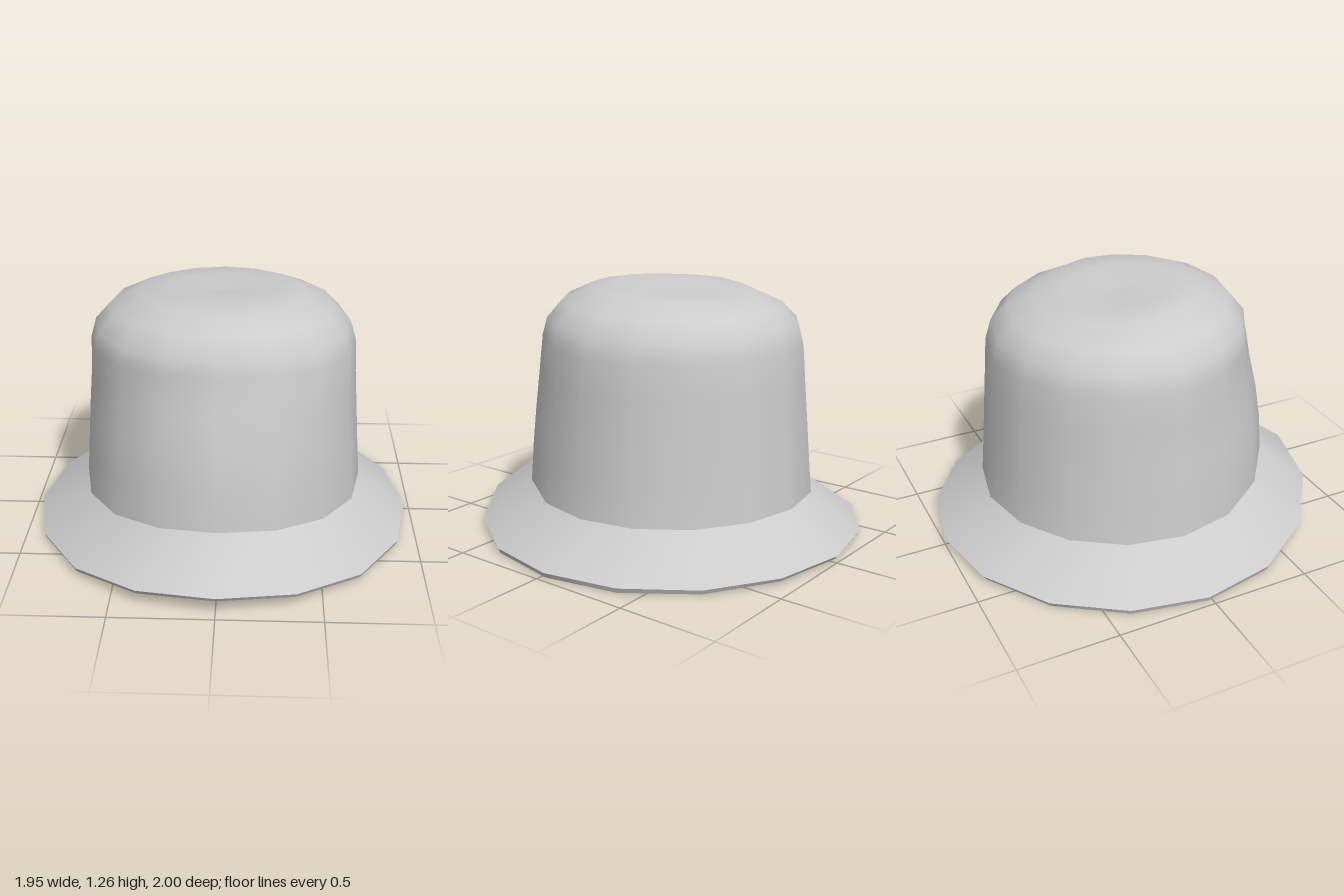
import * as THREE from 'three';

const SIDES = 16;
const CZ = -0.02; // centre of every ring in z

// Ring: [side radius, front z, back z, side y, front y, back y, front sharpness]
const crown = [
  [0.72, 0.75, -0.745, 0.21, 0.305, 0.215, 3],
  [0.705, 0.735, -0.728, 0.40, 0.48, 0.40, 2],
  [0.69, 0.70, -0.712, 0.60, 0.67, 0.60, 2],
  [0.675, 0.655, -0.695, 0.80, 0.84, 0.80, 1],
  [0.667, 0.60, -0.68, 0.97, 1.02, 0.97, 1],
  [0.637, 0.595, -0.65, 1.07, 1.10, 1.07, 1],
  [0.56, 0.52, -0.57, 1.155, 1.19, 1.145, 1],
  [0.41, 0.40, -0.45, 1.235, 1.245, 1.2, 1],
  [0.27, 0.27, -0.30, 1.237, 1.265, 1.215, 1],
  [0, CZ, CZ, 1.222, 1.222, 1.222, 1],
];
const brimEdge = [0.975, 1.0, -1.0, 0.025, 0.115, 0.035, 4];
const brimUnder = [0.965, 0.985, -0.987, 0, 0.092, 0.018, 4];

// The same ring moved inward and down by the cloth thickness
const inset = ([r, zf, zb, y, yf, yb, p], t = 0.02) =>
  r === 0 ? [0, zf, zb, y - t, yf - t, yb - t, p]
    : [r - t, zf - t, zb + t, y - t, yf - t, yb - t, p];

function ringPoint([r, zf, zb, y, yf, yb, p], j) {
  const a = (j / SIDES) * Math.PI * 2;
  const c = Math.cos(a), k = Math.abs(c);
  const reach = c > 0 ? zf - CZ : CZ - zb;
  const py = y + ((c > 0 ? yf : yb) - y) * Math.pow(k, p);
  // soft dent in the right front of the crown
  const h = (py - 0.85) / 0.16;
  const d = Math.sin((a - 5.4) / 2);
  const dent = r > 0.5 && r < 0.8 ? 1 - 0.025 * Math.exp(-h * h - 12 * d * d) : 1;
  return [r * Math.sin(a) * dent, py, CZ + c * (r + (reach - r) * k * k) * dent];
}

// Skin joining successive rings, smooth within the part
function skin(name, rings, material) {
  const pos = [], index = [];
  rings.forEach((ring, i) => {
    for (let j = 0; j < SIDES; j++) {
      pos.push(...ringPoint(ring, j));
      if (i === rings.length - 1) continue;
      const n = (j + 1) % SIDES;
      const a = i * SIDES + j, b = i * SIDES + n;
      const c = a + SIDES, d = b + SIDES;
      if (ring[0] > 0) index.push(a, b, d);
      if (rings[i + 1][0] > 0) index.push(a, d, c);
      else if (ring[0] > 0) index.splice(-3, 3, a, b, c);
    }
  });
  const g = new THREE.BufferGeometry();
  g.setAttribute('position', new THREE.Float32BufferAttribute(pos, 3));
  g.setIndex(index);
  g.computeVertexNormals();
  const mesh = new THREE.Mesh(g, material);
  mesh.name = name;
  return mesh;
}

export function createModel() {
  const hat = new THREE.Group();
  hat.name = 'bucketHat';
  const cloth = new THREE.MeshStandardMaterial({ color: 0xcccccc });
  const lining = crown.map((r) => inset(r)).reverse();

  hat.add(
    skin('crown', crown, cloth),
    skin('brimTop', [brimEdge, crown[0]], cloth),
    skin('brimRim', [brimUnder, brimEdge], cloth),
    skin('brimUnderside', [lining[lining.length - 1], brimUnder], cloth),
    skin('crownLining', lining, cloth),
  );
  return hat;
}
